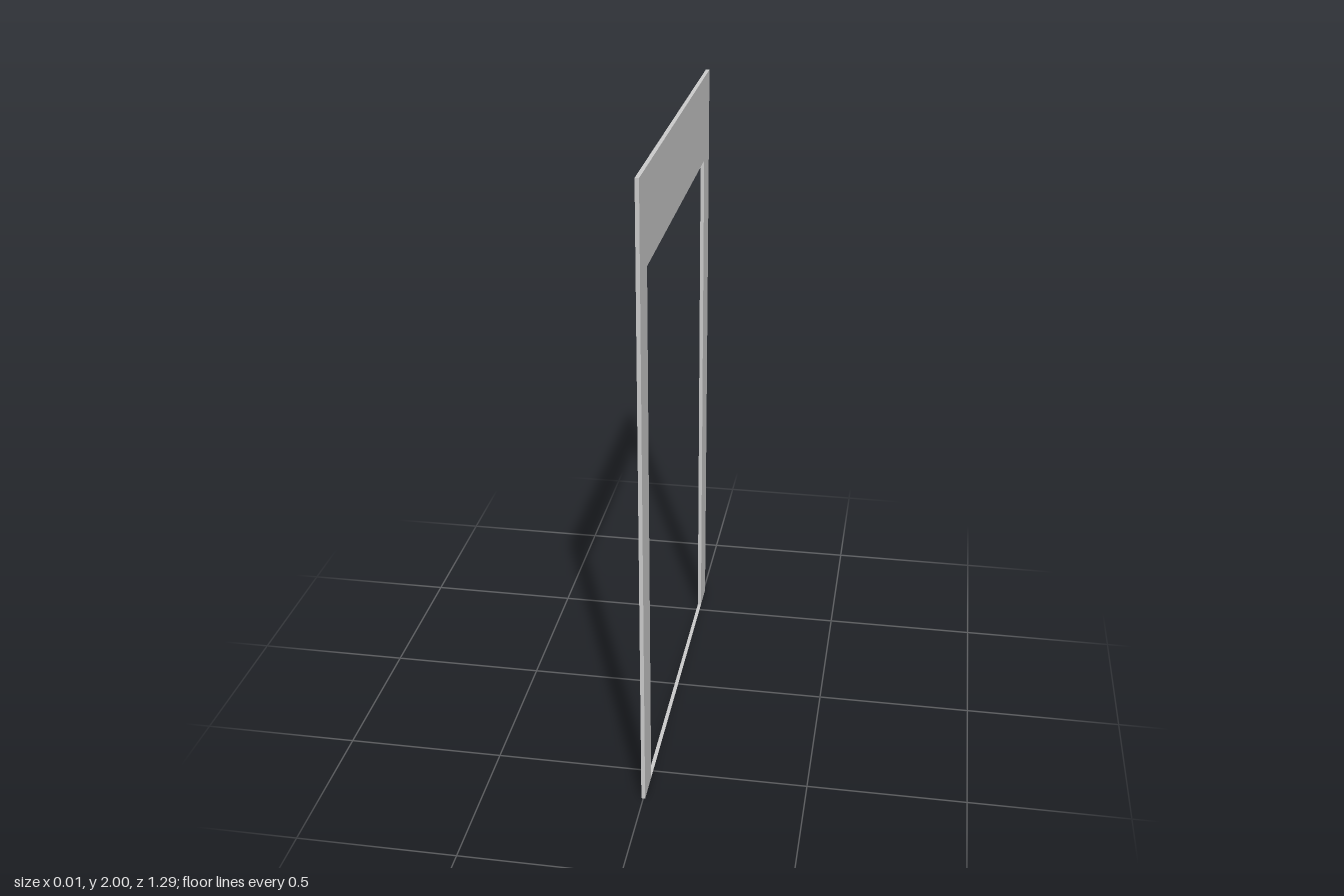
import * as THREE from 'three';

const THICK = 0.012; // panel thickness along x
const HALF = 0.643;  // half of the outer width along z
const OPEN = 0.536;  // half of the opening along z
const TOP = 2, HEAD = 1.72; // overall height, top of the opening

export function createModel() {
  const group = new THREE.Group();
  group.name = 'doorFrame';
  const material = new THREE.MeshStandardMaterial({ color: 0xcccccc });

  // Upright frame: two jambs and a deep header in one outline
  const outline = new THREE.Shape([
    [-HALF, 0], [-OPEN, 0], [-OPEN, HEAD], [OPEN, HEAD],
    [OPEN, 0], [HALF, 0], [HALF, TOP], [-HALF, TOP],
  ].map(([z, y]) => new THREE.Vector2(z, y)));
  const frameGeometry = new THREE.ExtrudeGeometry(outline, { depth: THICK, bevelEnabled: false });
  frameGeometry.translate(0, 0, -THICK / 2).rotateY(Math.PI / 2);
  const frame = new THREE.Mesh(frameGeometry, material);
  frame.name = 'jambsAndHeader';
  group.add(frame);

  // Flat threshold strip on the floor, closing the opening
  const thresholdMaterial = material.clone();
  thresholdMaterial.side = THREE.DoubleSide;
  const threshold = new THREE.Mesh(
    new THREE.PlaneGeometry(THICK, OPEN * 2).rotateX(-Math.PI / 2), thresholdMaterial);
  threshold.name = 'threshold';
  group.add(threshold);

  return group;
}
